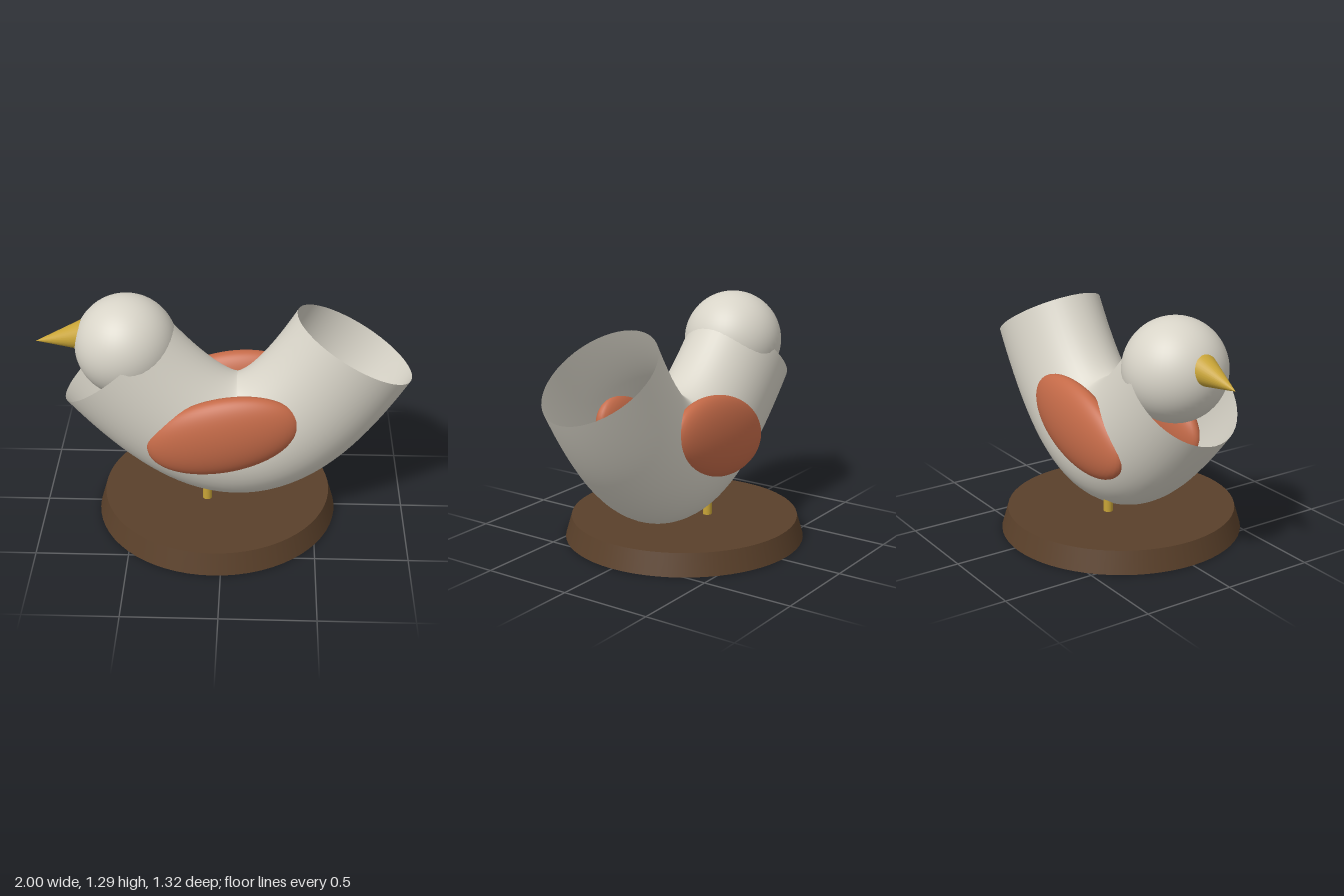
import * as THREE from 'three';

export function createModel() {
  const group = new THREE.Group();
  const material = (name, color, side = THREE.FrontSide) => {
    const m = new THREE.MeshStandardMaterial({ color, side });
    m.name = name;
    return m;
  };
  const plumage = material('pale plumage', 0xd8d4c8, THREE.DoubleSide);
  const wingRed = material('wing terracotta', 0xc46a48);
  const gold = material('beak gold', 0xc8a437);
  const wood = material('dark wood', 0x5a402a);

  const add = (name, geometry, mat, x = 0, y = 0, z = 0) => {
    const mesh = new THREE.Mesh(geometry, mat);
    mesh.name = name;
    mesh.position.set(x, y, z);
    group.add(mesh);
    return mesh;
  };

  // Round tapered stand
  add('stand', new THREE.CylinderGeometry(0.625, 0.66, 0.12, 64), wood, -0.04, 0.06, 0);

  // Curved body: an open tube flattened sideways
  const spine = new THREE.CubicBezierCurve3(
    new THREE.Vector3(-0.585, 0.94, 0),
    new THREE.Vector3(-0.07, 0.327, 0),
    new THREE.Vector3(0.25, 0.28, 0),
    new THREE.Vector3(0.69, 1.04, 0)
  );
  const body = add('body', new THREE.TubeGeometry(spine, 48, 0.358, 48, false), plumage);
  body.scale.z = 0.78;

  // Head
  add('head', new THREE.SphereGeometry(0.273, 48, 32), plumage, -0.52, 1.018, 0);

  // Beak: cone with its tip pointing to -x and slightly down
  const tilt = 0.161, length = 0.26;
  const beak = add('beak', new THREE.ConeGeometry(0.083, length, 32), gold,
    -1 + (length / 2) * Math.cos(tilt), 1.03 + (length / 2) * Math.sin(tilt), 0);
  beak.rotation.z = Math.PI / 2 + tilt;

  // Wings and legs, mirrored front to back
  for (const [label, s] of [['front', 1], ['back', -1]]) {
    const wing = add(label + 'Wing', new THREE.SphereGeometry(1, 48, 32), wingRed, 0, 0.61, 0.248 * s);
    wing.scale.set(0.415, 0.222, 0.102);
    wing.rotation.z = 0.26;
    add(label + 'Leg', new THREE.CylinderGeometry(0.025, 0.025, 0.2, 20), gold, -0.09, 0.2, 0.12 * s);
  }

  return group;
}
